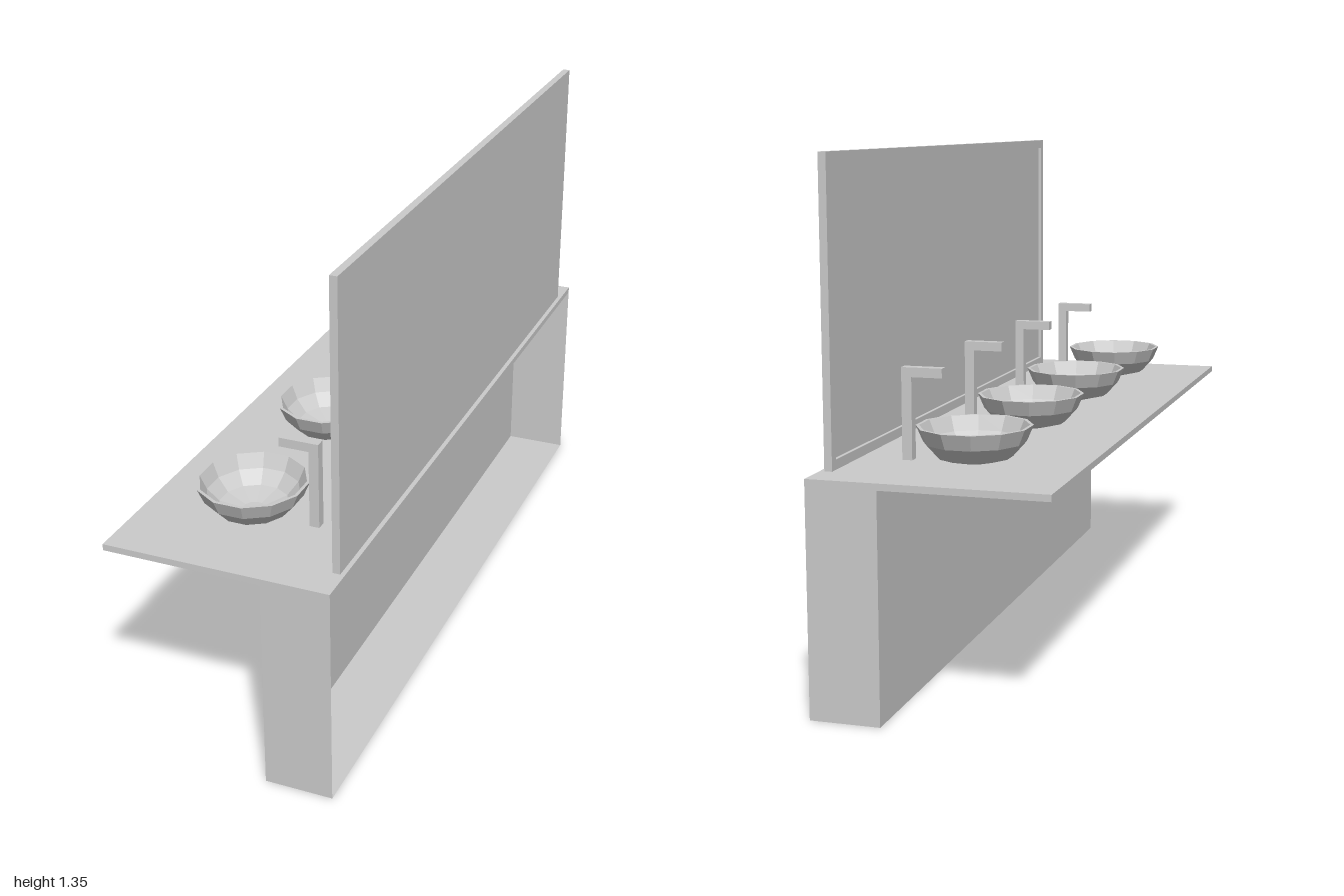
import * as THREE from 'three';

const grey = new THREE.MeshStandardMaterial({ color: 0xcccccc, flatShading: true });
const sheet = new THREE.MeshStandardMaterial({ color: 0xcccccc, flatShading: true, side: THREE.DoubleSide });

// Box given by its minimum and maximum corners
function box(name, x0, x1, y0, y1, z0, z1) {
  const mesh = new THREE.Mesh(new THREE.BoxGeometry(x1 - x0, y1 - y0, z1 - z0), grey);
  mesh.position.set((x0 + x1) / 2, (y0 + y1) / 2, (z0 + z1) / 2);
  mesh.name = name;
  return mesh;
}

// Thin-walled cabinet, open at the wall side (+x) and closed above by the countertop
function makeCabinet(top) {
  const geo = new THREE.BoxGeometry(0.18, top, 2);
  const index = Array.from(geo.index.array);
  geo.setIndex([...index.slice(6, 12), ...index.slice(18)]); // drop the +x and +y faces
  geo.clearGroups();
  const mesh = new THREE.Mesh(geo, sheet);
  mesh.position.set(0.21, top / 2, 0);
  mesh.name = 'cabinet';
  return mesh;
}

// Mirror: backing panel with a raised border facing the basins
function makeMirror(y0, y1, halfWidth) {
  const mirror = new THREE.Group();
  mirror.name = 'mirror';
  const b = 0.025;
  const x0 = 0.268, x1 = 0.277, x2 = 0.288;
  mirror.add(box('mirrorPanel', x1, x2, y0, y1, -halfWidth, halfWidth));

  const rect = (target, w, lo, hi) => {
    target.moveTo(-w, lo);
    target.lineTo(w, lo);
    target.lineTo(w, hi);
    target.lineTo(-w, hi);
    target.closePath();
    return target;
  };
  const shape = rect(new THREE.Shape(), halfWidth, y0, y1);
  shape.holes.push(rect(new THREE.Path(), halfWidth - b, y0 + b, y1 - b));
  const geo = new THREE.ExtrudeGeometry(shape, { depth: x1 - x0, bevelEnabled: false });
  geo.rotateY(Math.PI / 2);
  geo.translate(x0, 0, 0);
  const frame = new THREE.Mesh(geo, grey);
  frame.name = 'mirrorFrame';
  mirror.add(frame);
  return mirror;
}

// Faceted vessel basin: outer wall up, over the rim, then down the inside
function makeBasinGeometry() {
  const profile = [
    [0, 0], [0.03, 0.002], [0.098, 0.018], [0.133, 0.055], [0.151, 0.095],
    [0.142, 0.095], [0.124, 0.058], [0.092, 0.026], [0.03, 0.011], [0, 0.01],
  ].map(([r, y]) => new THREE.Vector2(r, y));
  const geo = new THREE.LatheGeometry(profile, 12);
  geo.rotateY(Math.PI / 12);
  geo.scale(0.95, 1, 1);
  return geo;
}

export function createModel() {
  const group = new THREE.Group();
  group.name = 'washbasinUnit';
  const slabBottom = 0.573, slabTop = 0.59;

  group.add(makeCabinet(slabBottom));
  group.add(box('countertop', -0.3, 0.3, slabBottom, slabTop, -1, 1));
  group.add(makeMirror(slabTop, 1.345, 0.91));

  // Four basins, each with an angular tap
  const basinGeo = makeBasinGeometry();
  for (const z of [-0.72, -0.236, 0.236, 0.72]) {
    const basin = new THREE.Mesh(basinGeo, grey);
    basin.position.set(-0.027, slabTop, z);
    basin.name = 'basin';
    group.add(basin);

    const tap = new THREE.Group();
    tap.name = 'tap';
    tap.add(box('tapPost', 0.131, 0.157, slabTop, 0.797, z - 0.013, z + 0.013));
    tap.add(box('tapSpout', 0.052, 0.157, 0.797, 0.821, z - 0.013, z + 0.013));
    group.add(tap);
  }
  return group;
}
